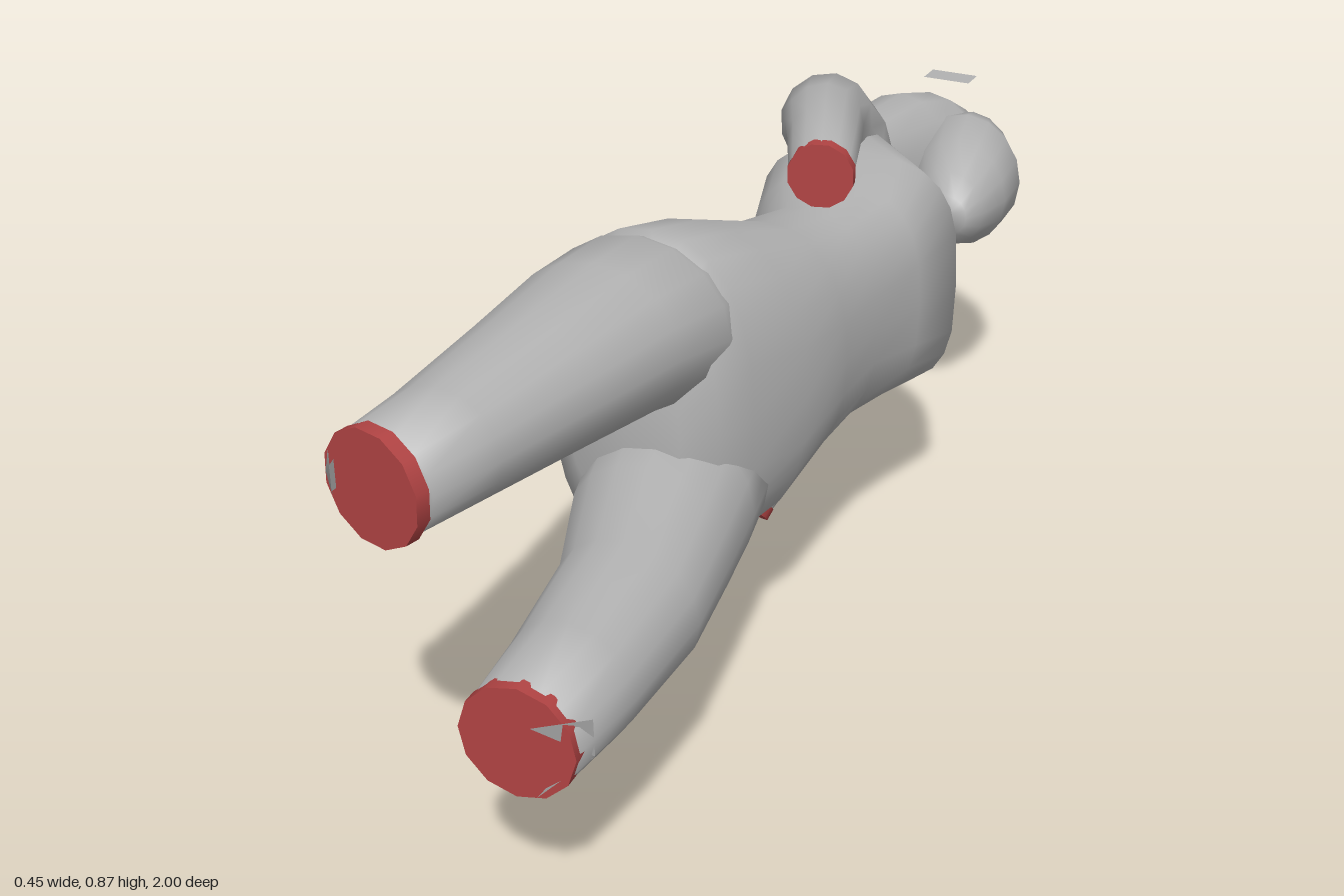
import * as THREE from 'three';

const skin = new THREE.MeshStandardMaterial({ color: 0xb2b2b2, side: THREE.DoubleSide });
skin.name = 'grey';
const cut = new THREE.MeshStandardMaterial({ color: 0xb24444 });
cut.name = 'red';

// Smooth skin over rings [x, y, z, ru, rv, exponent]; rings face +z, or follow the path
function loft(name, rings, { follow = false, sides = 16 } = {}) {
  const pos = [], index = [];
  const centres = rings.map(r => new THREE.Vector3(r[0], r[1], r[2]));
  const last = rings.length - 1;
  rings.forEach(([, , , ru, rv = ru, p = 2], k) => {
    const t = new THREE.Vector3(0, 0, 1);
    if (follow) t.subVectors(centres[Math.min(k + 1, last)], centres[Math.max(k - 1, 0)]).normalize();
    const u = new THREE.Vector3(1, 0, 0);
    u.addScaledVector(t, -u.dot(t)).normalize();
    const v = new THREE.Vector3().crossVectors(t, u);
    for (let i = 0; i < sides; i++) {
      const a = i / sides * Math.PI * 2, c = Math.cos(a), s = Math.sin(a);
      const q = centres[k].clone()
        .addScaledVector(u, ru * Math.sign(c) * Math.abs(c) ** (2 / p))
        .addScaledVector(v, rv * Math.sign(s) * Math.abs(s) ** (2 / p));
      pos.push(q.x, q.y, q.z);
    }
  });
  for (let k = 0; k < last; k++) {
    for (let i = 0; i < sides; i++) {
      const a = k * sides + i, b = k * sides + (i + 1) % sides;
      index.push(a, b, a + sides, b, b + sides, a + sides);
    }
  }
  // close both ends
  const first = pos.length / 3;
  pos.push(...centres[0].toArray(), ...centres[last].toArray());
  for (let i = 0; i < sides; i++) {
    const j = (i + 1) % sides;
    index.push(first, j, i, first + 1, last * sides + i, last * sides + j);
  }
  const g = new THREE.BufferGeometry();
  g.setAttribute('position', new THREE.Float32BufferAttribute(pos, 3));
  g.setIndex(index);
  g.computeVertexNormals();
  const mesh = new THREE.Mesh(g, skin);
  mesh.name = name;
  return mesh;
}

// Red disc closing a limb, facing the given direction
function limbCap(name, centre, direction, radius) {
  const mesh = new THREE.Mesh(new THREE.CylinderGeometry(radius, radius, 0.024, 12), cut);
  mesh.position.set(...centre);
  mesh.quaternion.setFromUnitVectors(new THREE.Vector3(0, 1, 0), new THREE.Vector3(...direction).normalize());
  mesh.name = name;
  return mesh;
}

// Small loose sheet from three or four corners
function sheet(name, corners) {
  const g = new THREE.BufferGeometry();
  g.setAttribute('position', new THREE.Float32BufferAttribute(corners.flat(), 3));
  g.setIndex(corners.length === 4 ? [0, 1, 2, 0, 2, 3] : [0, 1, 2]);
  g.computeVertexNormals();
  const mesh = new THREE.Mesh(g, skin);
  mesh.name = name;
  return mesh;
}

export function createModel() {
  const group = new THREE.Group();
  group.name = 'lyingFigure';

  // Torso from neck to hips, the chest facing +x
  group.add(loft('torso', [
    [-0.035, 0.53, -0.76, 0.06, 0.06],
    [-0.035, 0.53, -0.66, 0.06, 0.065],
    [-0.04, 0.53, -0.60, 0.07, 0.10],
    [-0.035, 0.53, -0.54, 0.095, 0.18],
    [-0.015, 0.53, -0.46, 0.135, 0.225, 2.4],
    [0.03, 0.53, -0.365, 0.195, 0.22, 3.2],
    [0.035, 0.53, -0.25, 0.165, 0.21, 2.7],
    [0.043, 0.533, -0.12, 0.132, 0.203, 2.3],
    [0.02, 0.53, 0.0, 0.15, 0.223, 2.2],
    [-0.025, 0.53, 0.15, 0.19, 0.275, 2.3],
    [-0.05, 0.535, 0.27, 0.175, 0.295, 2.4],
    [-0.05, 0.535, 0.34, 0.15, 0.26, 2.2],
    [-0.05, 0.535, 0.38, 0.10, 0.16],
  ], { sides: 24 }));

  // Legs, one forward and one back
  group.add(loft('upperLeg', [
    [-0.04, 0.66, 0.18, 0.13, 0.12],
    [-0.06, 0.685, 0.30, 0.16, 0.145],
    [-0.07, 0.70, 0.42, 0.148, 0.13],
    [-0.08, 0.705, 0.60, 0.125, 0.112],
    [-0.105, 0.70, 0.80, 0.10, 0.093],
    [-0.122, 0.70, 0.925, 0.086, 0.086],
  ]));
  group.add(loft('lowerLeg', [
    [-0.02, 0.40, 0.18, 0.14, 0.12],
    [-0.01, 0.385, 0.30, 0.15, 0.145],
    [0.015, 0.373, 0.42, 0.145, 0.13],
    [0.07, 0.37, 0.60, 0.122, 0.112],
    [0.088, 0.365, 0.80, 0.105, 0.098],
    [0.09, 0.362, 0.94, 0.09, 0.09],
  ]));
  group.add(limbCap('upperLegCap', [-0.122, 0.70, 0.93], [-0.22, 0, 1], 0.09));
  group.add(limbCap('lowerLegCap', [0.09, 0.362, 0.945], [0.05, 0, 1], 0.091));

  // Arms, bent at the shoulder
  group.add(loft('upperArm', [
    [-0.04, 0.62, -0.52, 0.085],
    [-0.06, 0.72, -0.485, 0.092],
    [-0.06, 0.775, -0.43, 0.085],
    [-0.03, 0.80, -0.35, 0.07],
    [0.01, 0.805, -0.26, 0.064],
    [0.067, 0.805, -0.115, 0.055],
  ], { follow: true, sides: 12 }));
  group.add(loft('lowerArm', [
    [-0.04, 0.42, -0.52, 0.09],
    [-0.055, 0.32, -0.485, 0.095],
    [-0.07, 0.25, -0.435, 0.08],
    [-0.10, 0.16, -0.355, 0.068],
    [-0.142, 0.056, -0.258, 0.056],
  ], { follow: true, sides: 12 }));
  group.add(limbCap('upperArmCap', [0.069, 0.805, -0.112], [0.25, 0, 1], 0.057));
  group.add(limbCap('lowerArmCap', [-0.143, 0.052, -0.254], [-0.25, -0.75, 0.7], 0.058));

  // Face
  group.add(loft('face', [
    [0.095, 0.53, -0.655, 0.042, 0.04],
    [0.088, 0.53, -0.69, 0.07, 0.075],
    [0.075, 0.53, -0.77, 0.10, 0.108],
    [0.055, 0.53, -0.87, 0.115, 0.125],
    [0.045, 0.53, -0.93, 0.09, 0.11],
    [0.035, 0.53, -0.985, 0.04, 0.055],
  ].reverse()));

  // Hair over the back of the head, flaring toward the shoulders
  group.add(loft('hair', [
    [-0.005, 0.53, -0.998, 0.045, 0.06],
    [-0.02, 0.53, -0.97, 0.09, 0.105],
    [-0.045, 0.533, -0.92, 0.115, 0.138],
    [-0.075, 0.535, -0.84, 0.112, 0.155],
    [-0.095, 0.54, -0.72, 0.092, 0.147, 2.3],
    [-0.105, 0.545, -0.65, 0.08, 0.145, 2.6],
    [-0.12, 0.545, -0.59, 0.06, 0.13, 2.6],
  ]));

  // Loose sheets: one above the head, small scraps at the ankles
  group.add(sheet('headSheet', [
    [-0.07, 0.69, -1.0], [-0.07, 0.69, -0.95], [0.025, 0.69, -0.95], [0.025, 0.69, -1.0],
  ]));
  group.add(sheet('ankleScrapFront', [[0.18, 0.33, 0.90], [0.185, 0.40, 0.91], [0.14, 0.43, 1.0]]));
  group.add(sheet('ankleScrapSide', [[0.12, 0.28, 0.90], [0.18, 0.33, 0.90], [0.14, 0.31, 0.99]]));
  group.add(sheet('ankleScrapBack', [[-0.2, 0.67, 0.86], [-0.2, 0.74, 0.86], [-0.19, 0.72, 0.94], [-0.19, 0.68, 0.94]]));

  return group;
}
